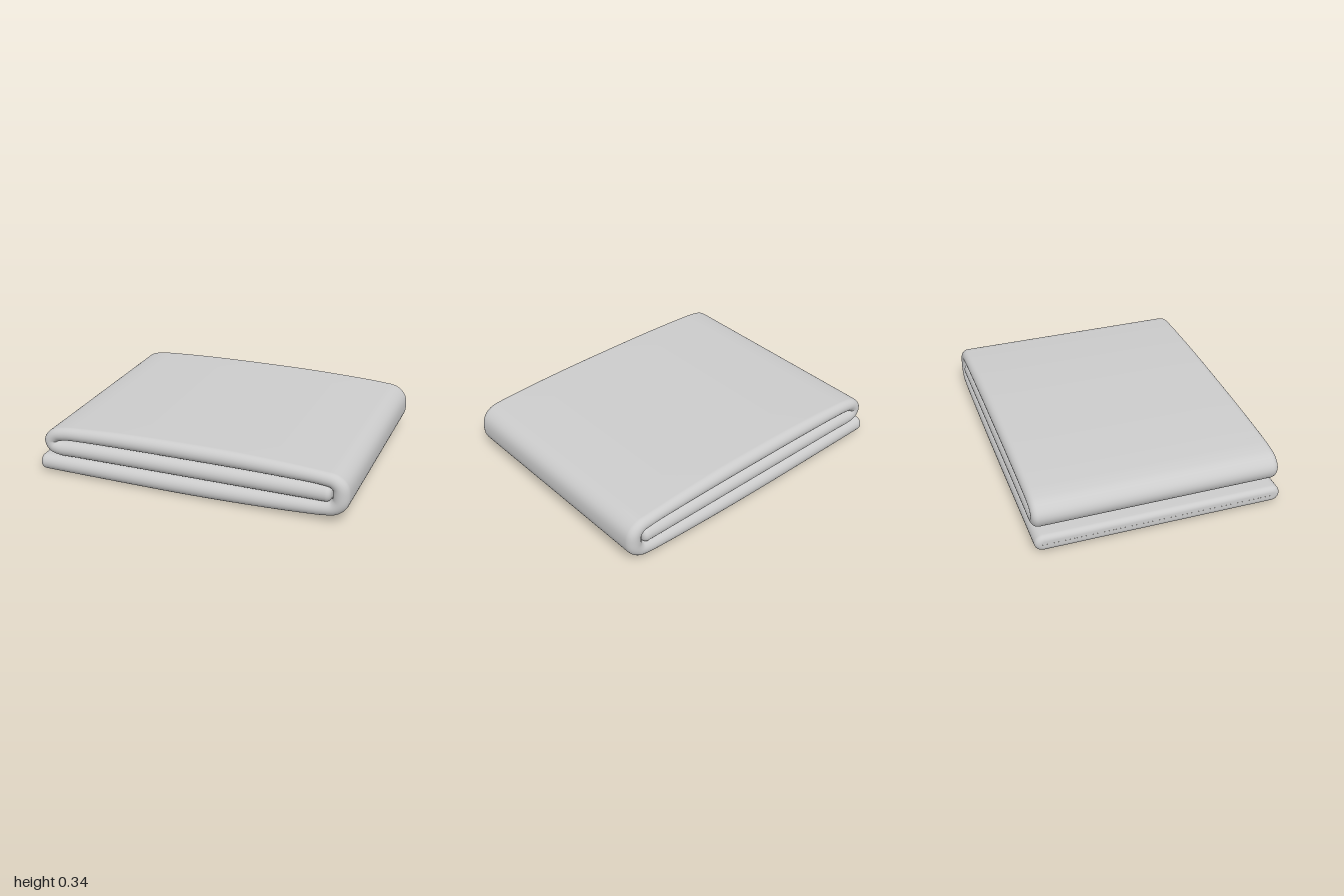
import * as THREE from 'three';

// Fold path seen from the front: x, y, half thickness
const PATH = [
  [-0.968, 0.062, 0.051], [-0.8, 0.061, 0.053], [-0.4, 0.058, 0.055], [0, 0.057, 0.056],
  [0.4, 0.062, 0.052], [0.7, 0.071, 0.047], [0.84, 0.079, 0.044], [0.905, 0.093, 0.046],
  [0.938, 0.128, 0.05], [0.944, 0.176, 0.052], [0.936, 0.225, 0.05], [0.9, 0.258, 0.046],
  [0.83, 0.27, 0.043], [0.6, 0.28, 0.047], [0.3, 0.286, 0.051], [0, 0.287, 0.052],
  [-0.4, 0.285, 0.05], [-0.7, 0.278, 0.045], [-0.83, 0.27, 0.043], [-0.895, 0.254, 0.042],
  [-0.925, 0.218, 0.043], [-0.91, 0.183, 0.044], [-0.865, 0.17, 0.047], [-0.75, 0.172, 0.051],
  [-0.4, 0.174, 0.054], [0.4, 0.174, 0.054], [0.75, 0.174, 0.053], [0.855, 0.174, 0.052],
];
const HALF_WIDTH = 0.768;
const END_RADIUS = 0.033;

// Closed cross-section across the cloth: [offset along the normal, z]
function crossSection(h, w) {
  const ring = [], arc = 12, flat = 8;
  for (const s of [1, -1]) {
    for (let i = 0; i <= arc; i++) {
      const a = (i / arc) * Math.PI;
      ring.push([s * h * Math.cos(a), s * (w - h + h * Math.sin(a))]);
    }
    for (let i = 1; i < flat; i++) ring.push([-s * h, s * (w - h) * (1 - (2 * i) / flat)]);
  }
  return ring;
}

function foldedCloth() {
  const curve = new THREE.CatmullRomCurve3(PATH.map((p) => new THREE.Vector3(...p)), false, 'centripetal');
  const positions = [], index = [];
  let count = 0, size = 0;

  // One ring at path parameter u, slid along the path and inset for the rounded ends
  function addRing(u, slide = 0, inset = 0, pinch = 1) {
    const p = curve.getPoint(u), t = curve.getTangent(u);
    t.z = 0;
    t.normalize();
    const ring = crossSection((p.z - inset) * pinch, HALF_WIDTH - inset);
    size = ring.length;
    for (const [n, z] of ring) {
      positions.push(p.x + t.x * slide - t.y * n, p.y + t.y * slide + t.x * n, z);
    }
    count++;
  }

  const steps = 216, endSteps = 6;
  const endRing = (u, sign, k) => {
    const a = (k / endSteps) * Math.PI / 2;
    addRing(u, sign * END_RADIUS * Math.sin(a), END_RADIUS * (1 - Math.cos(a)));
  };

  // Closed start edge, the folds, closed far edge
  addRing(0, -END_RADIUS, END_RADIUS, 0.01);
  for (let k = endSteps; k > 0; k--) endRing(0, -1, k);
  for (let i = 0; i <= steps; i++) addRing(i / steps);
  for (let k = 1; k <= endSteps; k++) endRing(1, 1, k);
  addRing(1, END_RADIUS, END_RADIUS, 0.01);

  for (let i = 0; i < count - 1; i++) {
    for (let j = 0; j < size; j++) {
      const a = i * size + j, b = i * size + ((j + 1) % size);
      index.push(a, b, a + size, b, b + size, a + size);
    }
  }
  const geometry = new THREE.BufferGeometry();
  geometry.setAttribute('position', new THREE.Float32BufferAttribute(positions, 3));
  geometry.setIndex(index);
  geometry.computeVertexNormals();
  return geometry;
}

export function createModel() {
  const group = new THREE.Group();
  group.name = 'foldedBlanket';
  const cloth = new THREE.Mesh(foldedCloth(), new THREE.MeshStandardMaterial({ color: 0xcccccc }));
  cloth.name = 'foldedCloth';
  group.add(cloth);
  return group;
}
